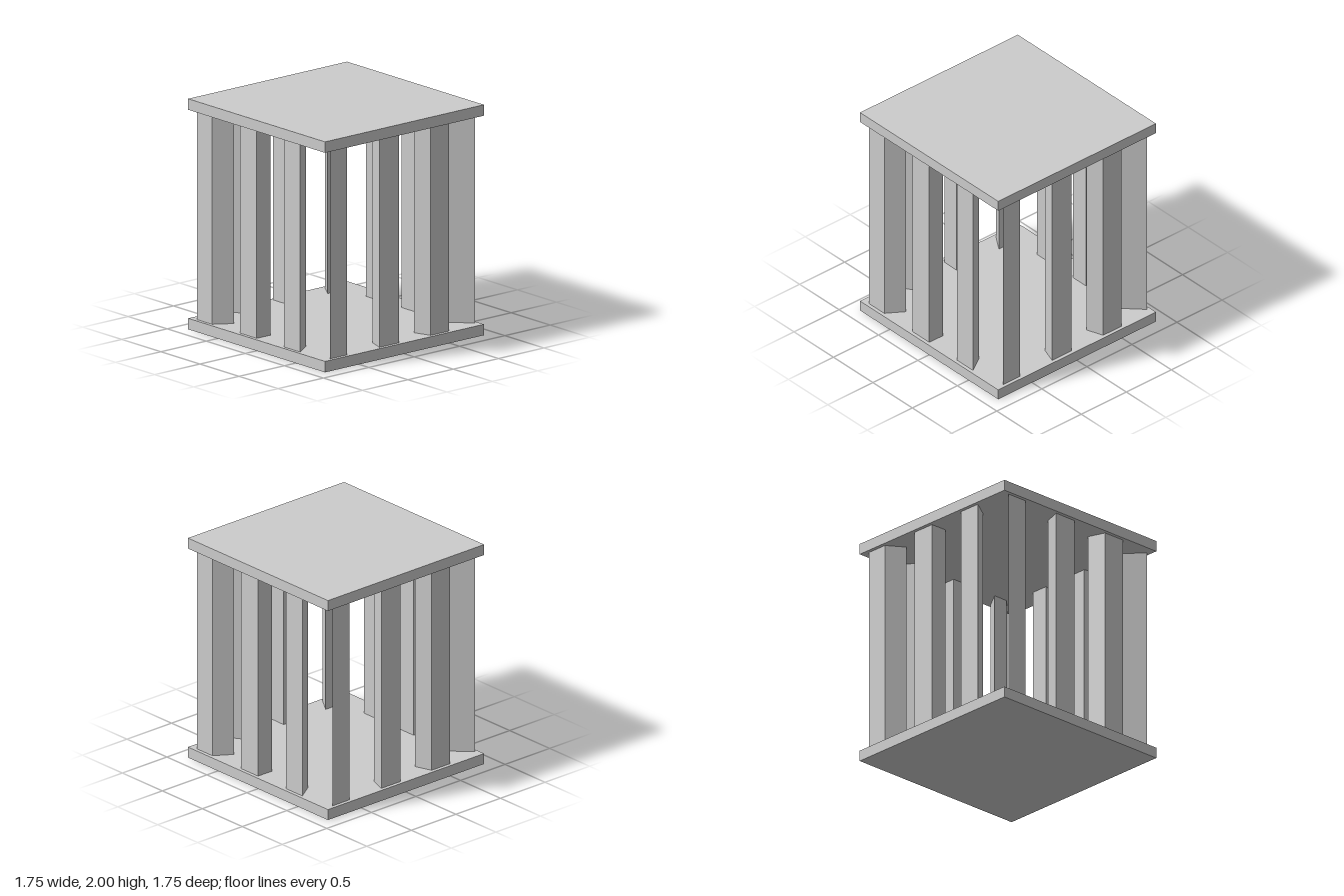
import * as THREE from 'three';

export function createModel() {
  const group = new THREE.Group();
  const material = new THREE.MeshStandardMaterial({ color: 0xcccccc, flatShading: true });

  const size = 1.752, thick = 0.095, height = 2;
  const outer = 0.844, inner = 0.692;

  // Square slabs at the bottom and top
  const slab = new THREE.BoxGeometry(size, thick, size);
  for (const [name, y] of [['basePlate', thick / 2], ['topPlate', height - thick / 2]]) {
    const plate = new THREE.Mesh(slab, material);
    plate.name = name;
    plate.position.y = y;
    group.add(plate);
  }

  // Tapered column sections: outer left, outer right, inner right, inner left (x)
  const sections = [
    [-0.796, -0.605, -0.505, -0.643],
    [-0.249, -0.035, -0.032, -0.196],
    [0.317, 0.521, 0.421, 0.265],
  ];
  const columns = sections.map(([ol, or, ir, il]) => {
    const shape = new THREE.Shape([
      new THREE.Vector2(ol, -outer),
      new THREE.Vector2(or, -outer),
      new THREE.Vector2(ir, -inner),
      new THREE.Vector2(il, -inner),
    ]);
    const geometry = new THREE.ExtrudeGeometry(shape, { depth: height - 2 * thick, bevelEnabled: false });
    return geometry.rotateX(-Math.PI / 2).translate(0, thick, 0);
  });

  // The same three columns on each of the four sides
  ['front', 'left', 'back', 'right'].forEach((side, i) => {
    const row = new THREE.Group();
    row.name = side + 'Columns';
    row.rotation.y = i * Math.PI / 2;
    columns.forEach((geometry, j) => {
      const column = new THREE.Mesh(geometry, material);
      column.name = side + 'Column' + (j + 1);
      row.add(column);
    });
    group.add(row);
  });

  return group;
}
